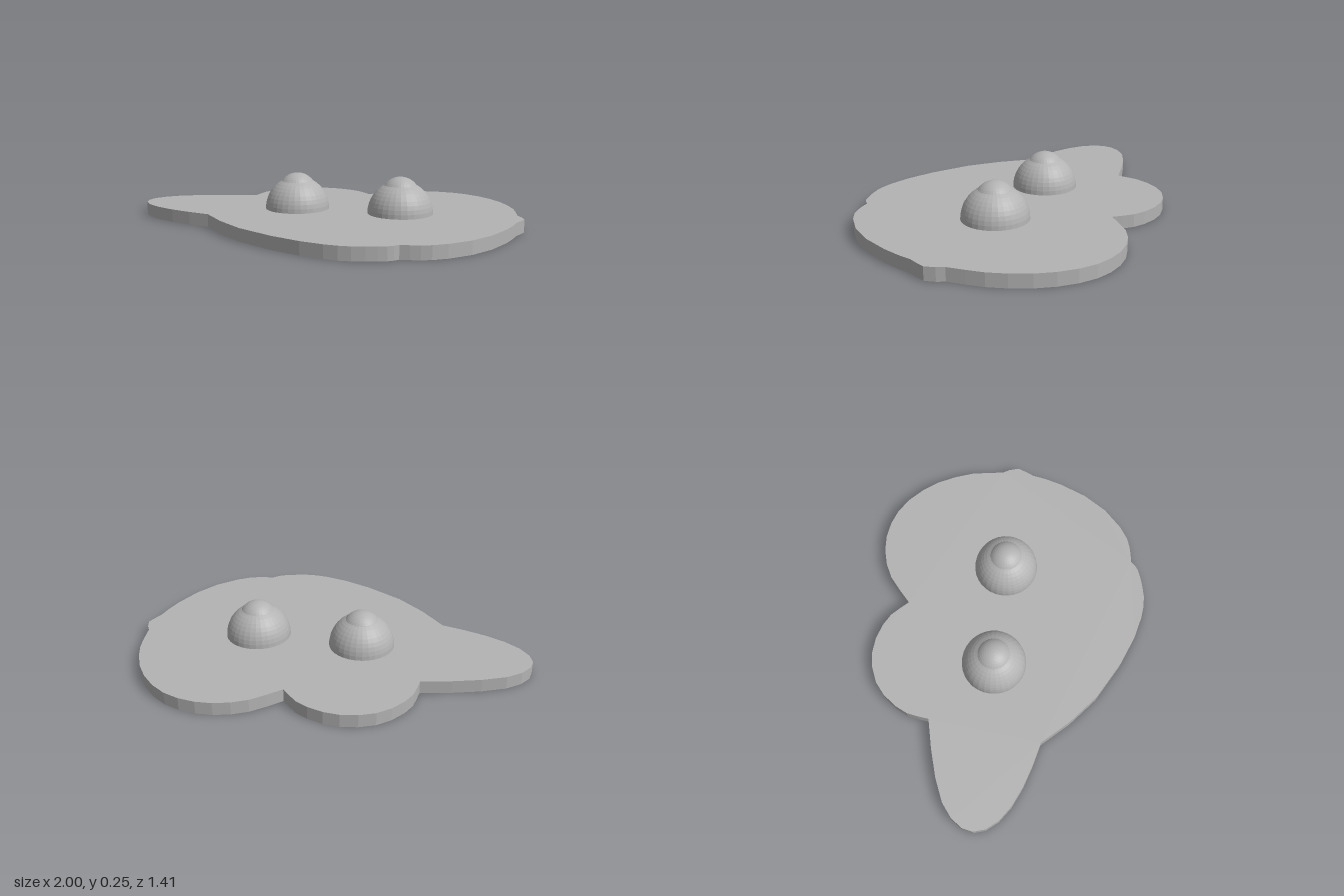
import * as THREE from 'three';

const BASE_HEIGHT = 0.065;

// Each lobe is a smooth arc through [x, z] points; lobes meet at sharp notches.
const LOBES = [
  { name: 'left', steps: 12, points: [[-0.48, -0.33], [-0.7, -0.275], [-0.88, -0.205], [-0.975, -0.12], [-1, -0.04], [-0.965, 0.045], [-0.86, 0.13], [-0.705, 0.195], [-0.535, 0.24]] },
  { name: 'front', steps: 12, points: [[-0.535, 0.24], [-0.32, 0.46], [0, 0.64], [0.2, 0.698], [0.3, 0.702], [0.4, 0.68], [0.465, 0.655], [0.5, 0.622]] },
  { name: 'frontRight', steps: 9, points: [[0.5, 0.622], [0.58, 0.61], [0.665, 0.575], [0.825, 0.42], [0.935, 0.18], [0.965, 0.045]] },
  { name: 'rightNub', steps: 4, points: [[0.965, 0.045], [0.985, 0], [1, -0.04], [0.985, -0.09], [0.965, -0.125]] },
  { name: 'backRight', steps: 14, points: [[0.965, -0.125], [0.93, -0.32], [0.825, -0.525], [0.66, -0.665], [0.47, -0.705], [0.285, -0.655], [0.13, -0.525]] },
  { name: 'backLeft', steps: 12, points: [[0.13, -0.525], [0.03, -0.62], [-0.15, -0.67], [-0.335, -0.615], [-0.455, -0.465], [-0.48, -0.33]] },
];

function createBase(material) {
  const outline = LOBES.flatMap(({ points, steps }) => {
    const curve = new THREE.CatmullRomCurve3(points.map(([x, z]) => new THREE.Vector3(x, z, 0)));
    return curve.getPoints(steps).slice(0, -1).map((p) => new THREE.Vector2(p.x, p.y));
  });
  const geometry = new THREE.ExtrudeGeometry(new THREE.Shape(outline), { depth: BASE_HEIGHT, bevelEnabled: false });
  geometry.rotateX(Math.PI / 2).translate(0, BASE_HEIGHT, 0);
  const base = new THREE.Mesh(geometry, material);
  base.name = 'lobedBase';
  return base;
}

// Half sphere with a smaller, shallow cap on top
function createDome(name, x, material) {
  const dome = new THREE.Group();
  dome.name = name;
  dome.position.set(x, BASE_HEIGHT, -0.04);

  const body = new THREE.Mesh(new THREE.SphereGeometry(0.165, 32, 12, 0, Math.PI * 2, 0, Math.PI / 2), material);
  body.name = 'domeBody';

  const cap = new THREE.Mesh(new THREE.SphereGeometry(0.1, 32, 8, 0, Math.PI * 2, 0, Math.PI / 3), material);
  cap.name = 'domeCap';
  cap.position.y = 0.085;

  dome.add(body, cap);
  return dome;
}

export function createModel() {
  const grey = new THREE.MeshStandardMaterial({ color: 0xb3b3b3 });
  grey.name = 'grey';
  grey.flatShading = true;

  const model = new THREE.Group();
  model.name = 'lobedPlateWithDomes';
  model.add(createBase(grey), createDome('rightDome', -0.15, grey), createDome('leftDome', 0.39, grey));
  return model;
}
